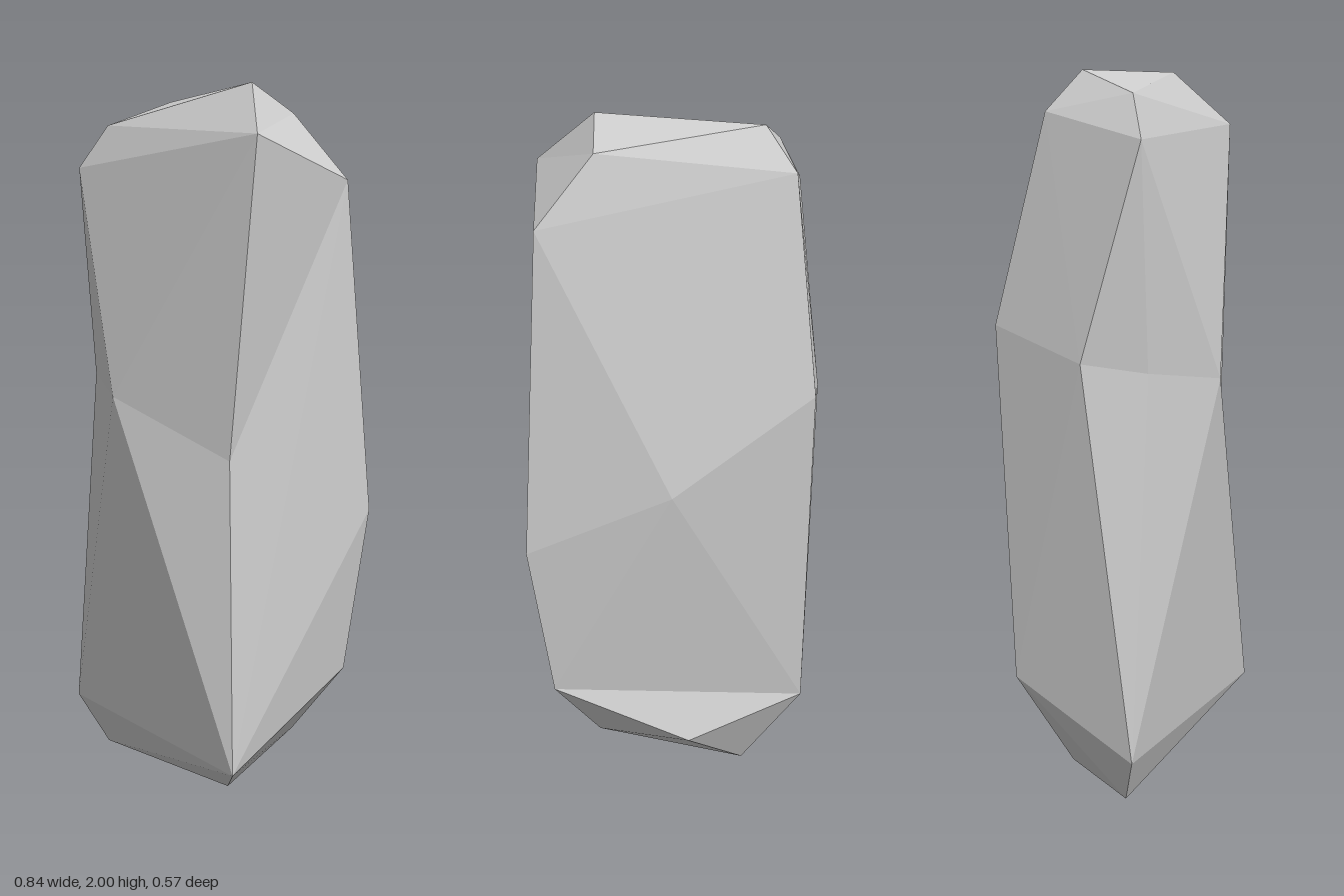
import * as THREE from 'three';

// Corners are [x, y, z]; each ring runs counter-clockwise seen from above,
// starting at the front corner on the -x side.
const frontFoot = [0.36, 0.145, 0.19];
const base = [[-0.34, 0, 0.13], [0.24, 0.05, 0.11], [0.23, 0.16, -0.14], [-0.035, 0.2, -0.268], [-0.21, 0.015, -0.112]];
const foot = [[-0.42, 0.145, 0.19], frontFoot, [0.36, 0.365, -0.22], [-0.375, 0.31, -0.2]];
// the waist dips down to the front foot corner on the +x side
const waist = [[-0.305, 1.185, 0.18], [-0.065, 1.15, 0.282], [0.275, 1.0, 0.135], frontFoot,
  [0.42, 0.84, -0.25], [0.015, 1.02, -0.284], [-0.368, 1.3, -0.253], [-0.42, 1.215, 0.04]];
const shoulder = [[-0.365, 1.785, 0.19], [0.362, 1.857, 0.118], [0.362, 1.745, -0.2], [-0.315, 1.865, -0.12]];
const crown = [[-0.298, 1.905, 0.132], [0.203, 2, 0.005], [0.207, 1.925, -0.14], [-0.238, 1.975, -0.05]];

// Join two rings with triangles: 'd' steps along the lower ring, 'u' along the upper one
function stitch(out, lower, upper, steps) {
  let i = 0, j = 0;
  for (const step of steps) {
    const a = lower[i % lower.length], b = upper[j % upper.length];
    const next = step === 'd' ? lower[++i % lower.length] : upper[++j % upper.length];
    if (a !== b && a !== next && b !== next) out.push(a, next, b);
  }
}

// Close a ring with a fan around its last corner
function cap(out, ring, up) {
  const hub = ring[ring.length - 1];
  for (let i = 0; i < ring.length - 2; i++) {
    out.push(hub, ring[up ? i : i + 1], ring[up ? i + 1 : i]);
  }
}

export function createModel() {
  const corners = [];
  cap(corners, base, false);
  stitch(corners, base, foot, 'uddududdu');
  stitch(corners, foot, waist, 'uduuududuudu');
  stitch(corners, waist, shoulder, 'dududdduddud');
  stitch(corners, shoulder, crown, 'duudduud');
  cap(corners, crown, true);

  const geometry = new THREE.BufferGeometry();
  geometry.setAttribute('position', new THREE.Float32BufferAttribute(corners.flat(), 3));
  geometry.computeVertexNormals();

  const rock = new THREE.Mesh(geometry, new THREE.MeshStandardMaterial({ color: 0xcccccc, flatShading: true }));
  rock.name = 'standingRock';
  const group = new THREE.Group();
  group.name = 'rock';
  group.add(rock);
  return group;
}
